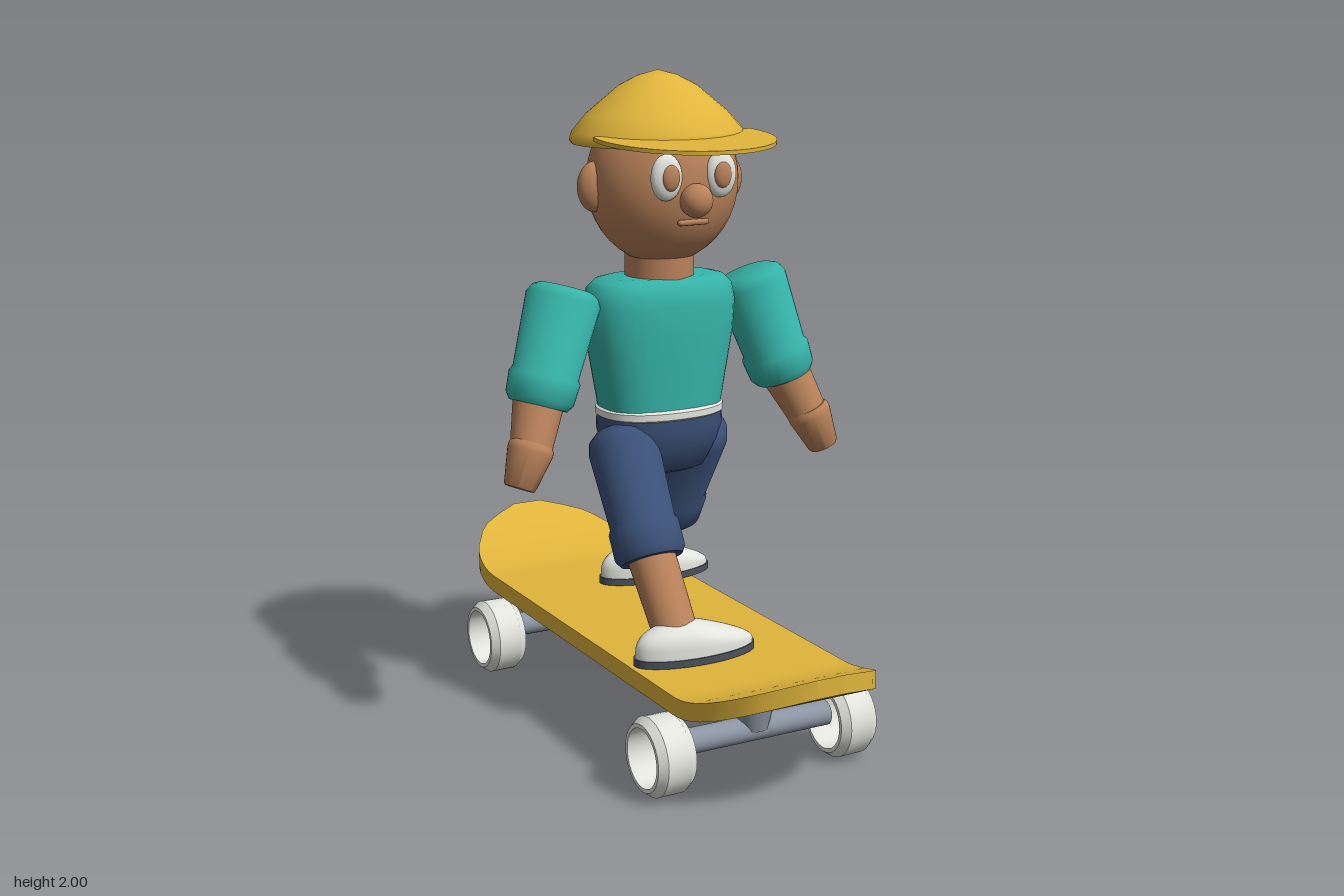
import * as THREE from 'three';
import { toCreasedNormals } from 'three/addons/utils/BufferGeometryUtils.js';

const paint = (name, color) => new THREE.MeshStandardMaterial({ name, color });

export function createModel() {
  const model = new THREE.Group();
  model.name = 'skateboarder';
  const yellow = paint('yellow', 0xe0b53c);
  const skin = paint('skin', 0xb9825a);
  const teal = paint('teal', 0x36b3a8);
  const navy = paint('navy', 0x3b5178);
  const white = paint('white', 0xe4e4de);
  const grey = paint('grey', 0x8d96a4);
  const dark = paint('dark sole', 0x4c525c);

  const add = (name, geo, mat, x = 0, y = 0, z = 0, parent = model) => {
    const mesh = new THREE.Mesh(geo, mat);
    mesh.name = name;
    mesh.position.set(x, y, z);
    parent.add(mesh);
    return mesh;
  };

  // Closed body through rings [y, rx, rz] listed upwards; power < 1 squares the section.
  function loft(rings, power = 1, n = 32) {
    const pos = [], idx = [];
    const soft = (v) => Math.sign(v) * Math.abs(v) ** power;
    const all = [[rings[0][0], 0, 0], ...rings, [rings[rings.length - 1][0], 0, 0]];
    all.forEach(([y, rx, rz = rx], r) => {
      for (let i = 0; i < n; i++) {
        const a = (i / n) * Math.PI * 2;
        pos.push(rx * soft(Math.cos(a)), y, rz * soft(Math.sin(a)));
        if (r === 0) continue;
        const p = (r - 1) * n + i, q = (r - 1) * n + ((i + 1) % n);
        if (r > 1) idx.push(p, p + n, q);
        if (r < all.length - 1) idx.push(q, p + n, q + n);
      }
    });
    const geo = new THREE.BufferGeometry();
    geo.setAttribute('position', new THREE.Float32BufferAttribute(pos, 3));
    geo.setIndex(idx);
    return toCreasedNormals(geo, 0.8);
  }

  // Limb from point a to point b, with rings [fraction, radius].
  function limb(name, mat, a, b, rings) {
    const from = new THREE.Vector3(...a), dir = new THREE.Vector3(...b).sub(from);
    const len = dir.length();
    const mesh = add(name, loft(rings.map(([t, r]) => [t * len, r])), mat, ...a);
    mesh.quaternion.setFromUnitVectors(new THREE.Vector3(0, 1, 0), dir.normalize());
    return mesh;
  }

  const ball = (name, mat, x, y, z, rx, ry, rz) =>
    add(name, new THREE.SphereGeometry(1, 32, 20).scale(rx, ry, rz), mat, x, y, z);

  // Deck: a box narrowed at the ends and bent up into kicks
  const deckGeo = new THREE.BoxGeometry(2, 0.055, 1.95, 8, 1, 60);
  const outline = [[0, 0.29], [0.68, 0.29], [0.74, 0.283], [0.8, 0.265], [0.9, 0.2], [0.95, 0.11], [0.975, 0.05]];
  const widthAt = (z) => {
    const i = Math.max(1, outline.findIndex(([oz]) => oz >= z - 1e-5));
    const [z0, w0] = outline[i - 1], [z1, w1] = outline[i];
    return w0 + ((w1 - w0) * (z - z0)) / (z1 - z0);
  };
  const dp = deckGeo.attributes.position;
  for (let i = 0; i < dp.count; i++) {
    const z = Math.abs(dp.getZ(i)), k = Math.max(0, z - 0.62) / 0.355;
    dp.setX(i, dp.getX(i) * widthAt(z));
    dp.setY(i, dp.getY(i) + 0.278 + 0.125 * k ** 1.6);
  }
  add('deck', toCreasedNormals(deckGeo, 0.6), yellow);

  // Trucks and hollow wheels
  const tyre = [[0.088, -0.062], [0.1, -0.062], [0.117, -0.038], [0.118, 0.038], [0.1, 0.062], [0.088, 0.062], [0.088, -0.062]];
  const wheelGeo = toCreasedNormals(
    new THREE.LatheGeometry(tyre.map(([r, y]) => new THREE.Vector2(r, y)), 32).rotateZ(Math.PI / 2), 0.5);
  for (const end of [1, -1]) {
    const truck = new THREE.Group();
    truck.name = end > 0 ? 'frontTruck' : 'rearTruck';
    truck.position.z = end * 0.57;
    model.add(truck);
    add('axle', new THREE.CylinderGeometry(0.038, 0.038, 0.5, 20).rotateZ(Math.PI / 2), grey, 0, 0.14, 0, truck);
    add('hanger', new THREE.CylinderGeometry(0.07, 0.045, 0.115, 20), grey, 0, 0.2, 0, truck);
    for (const s of [1, -1]) add('wheel', wheelGeo, white, s * 0.305, 0.118, 0, truck);
  }

  // Shoe upper: half a ball, full at the heel and low at the toe
  const upperGeo = new THREE.SphereGeometry(1, 32, 12, 0, Math.PI * 2, 0, Math.PI / 2);
  const up = upperGeo.attributes.position;
  for (let i = 0; i < up.count; i++) {
    const x = up.getX(i), y = Math.max(0, up.getY(i)) ** 0.6;
    up.setXYZ(i, x * 0.195, y * (0.1 - 0.05 * Math.max(0, x + 0.15)), up.getZ(i) * 0.08);
  }
  upperGeo.computeVertexNormals();
  const soleGeo = new THREE.CylinderGeometry(1, 1, 0.022, 40).scale(0.2, 1, 0.084);

  // Legs, one forward and one back, both toes towards +x
  for (const s of [1, -1]) {
    const x = -s * 0.145;
    const side = s > 0 ? 'right' : 'left';
    limb(side + 'TrouserLeg', navy, [x, 0.93, s * 0.01], [x, 0.575, s * 0.22],
      [[0, 0.07], [0.06, 0.098], [0.15, 0.108], [0.72, 0.1], [0.76, 0.108], [0.95, 0.108], [1, 0.095]]);
    limb(side + 'Shin', skin, [x, 0.62, s * 0.19], [-s * 0.132, 0.36, s * 0.36], [[0, 0.074], [1, 0.066]]);
    const sx = s > 0 ? -0.08 : 0.18;
    add(side + 'Sole', soleGeo, dark, sx, 0.321, s * 0.365);
    add(side + 'Shoe', upperGeo, white, sx, 0.331, s * 0.365);
  }

  // Torso
  add('hips', loft([[0.79, 0.12, 0.07], [0.8, 0.145, 0.09], [0.88, 0.185, 0.125], [0.93, 0.2, 0.138], [0.975, 0.197, 0.138]], 0.85), navy);
  add('belt', loft([[0.967, 0.19, 0.138], [0.973, 0.2, 0.146], [0.993, 0.2, 0.146], [1, 0.19, 0.138]], 0.85), white);
  add('shirt', loft([[0.995, 0.192, 0.135], [1.1, 0.212, 0.138], [1.22, 0.234, 0.142], [1.31, 0.24, 0.142],
    [1.36, 0.23, 0.135], [1.385, 0.205, 0.118], [1.393, 0.17, 0.095]], 0.8), teal);
  add('neck', loft([[1.37, 0.105], [1.48, 0.105]]), skin);

  // Arms
  for (const s of [1, -1]) {
    const side = s > 0 ? 'left' : 'right';
    limb(side + 'Sleeve', teal, [s * 0.31, 1.375, -0.005], [s * 0.425, 1.04, 0.035],
      [[0, 0.08], [0.03, 0.1], [0.1, 0.113], [0.72, 0.1], [0.76, 0.108], [0.94, 0.103], [1, 0.088]]);
    limb(side + 'Forearm', skin, [s * 0.415, 1.08, 0.03], [s * 0.478, 0.925, 0.095], [[0, 0.08], [1, 0.062]]);
    limb(side + 'Hand', skin, [s * 0.472, 0.945, 0.095], [s * 0.526, 0.82, 0.115],
      [[0, 0.06], [0.08, 0.068], [0.2, 0.068], [0.95, 0.048], [1, 0.043]]);
  }

  // Head and face
  ball('head', skin, 0, 1.68, 0.02, 0.235, 0.25, 0.2);
  ball('nose', skin, 0, 1.64, 0.225, 0.05, 0.05, 0.045);
  for (const s of [1, -1]) {
    ball('ear', skin, s * 0.22, 1.67, 0.01, 0.055, 0.075, 0.04);
    ball('eyeWhite', white, s * 0.09, 1.71, 0.208, 0.05, 0.068, 0.026);
    ball('pupil', skin, s * 0.086, 1.71, 0.229, 0.028, 0.038, 0.014);
  }
  add('mouth', new THREE.CapsuleGeometry(0.009, 0.085, 4, 10).rotateZ(Math.PI / 2), skin, 0, 1.575, 0.207);

  // Cap with a thin, slightly tilted brim
  const crown = [[1.79, 0.265], [1.8, 0.27], [1.825, 0.262], [1.875, 0.218], [1.955, 0.12], [1.985, 0.06], [2, 0.002]];
  add('capCrown', loft(crown.map(([y, r]) => [y, r, r * 0.87])), yellow, 0, 0, -0.01);
  const brim = add('capBrim', new THREE.CylinderGeometry(0.27, 0.27, 0.012, 40, 1, false, -Math.PI * 0.58, Math.PI * 1.16), yellow, 0, 1.814, 0.15);
  brim.rotation.x = 0.06;

  return model;
}
